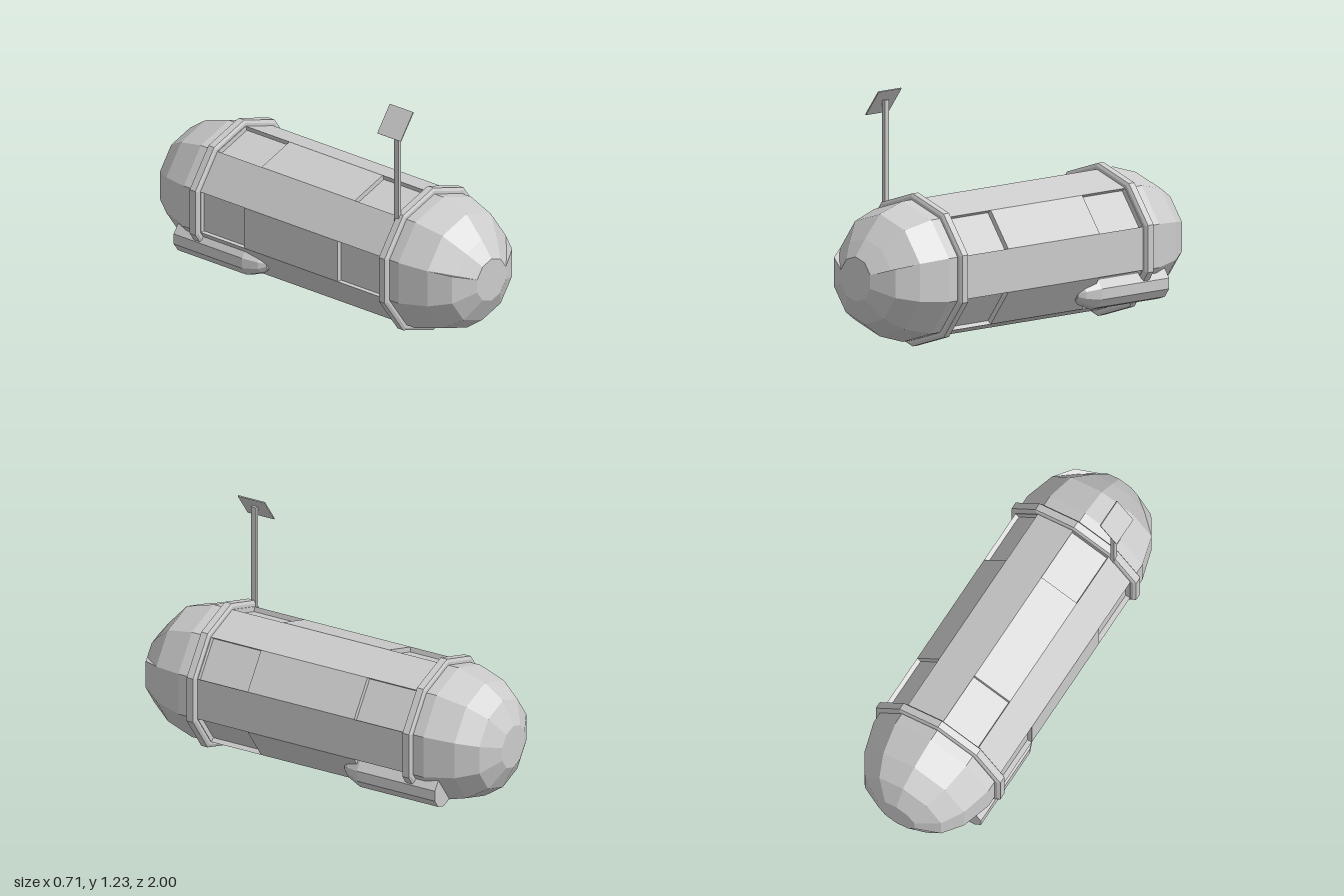
import * as THREE from 'three';

const SIDES = 10;
const AXIS_Y = 0.38;
const RADIUS = 0.345;

const material = new THREE.MeshStandardMaterial({
  color: 0xcccccc, flatShading: true, side: THREE.DoubleSide,
});

// Corner k of the ten-sided section, at radius r and depth z
function corner(k, r, z) {
  const a = THREE.MathUtils.degToRad(18 + 36 * k);
  return new THREE.Vector3(r * Math.cos(a), AXIS_Y + r * Math.sin(a), z);
}

function quadMesh(name, quads) {
  const points = quads.flatMap(([a, b, c, d]) => [a, b, c, a, c, d]);
  const geometry = new THREE.BufferGeometry().setFromPoints(points);
  geometry.computeVertexNormals();
  const mesh = new THREE.Mesh(geometry, material);
  mesh.name = name;
  return mesh;
}

// One facet between two stations [z, r]
function facet(k, [z0, r0], [z1, r1]) {
  return [corner(k, r0, z0), corner(k + 1, r0, z0), corner(k + 1, r1, z1), corner(k, r1, z1)];
}

// Ten-sided solid turned around the z axis from [radius, z] points
function turned(name, profile, x, y, z) {
  const points = profile.map(([r, h]) => new THREE.Vector2(r, h));
  const mesh = new THREE.Mesh(new THREE.LatheGeometry(points, SIDES), material);
  mesh.name = name;
  mesh.rotation.x = Math.PI / 2;
  mesh.position.set(x, y, z);
  return mesh;
}

function box(name, size, position) {
  const mesh = new THREE.Mesh(new THREE.BoxGeometry(...size), material);
  mesh.name = name;
  mesh.position.set(...position);
  return mesh;
}

// Straight hull: every other facet has a sunken panel near each end
function createHull() {
  const depth = 0.025;
  const cuts = [-0.69, -0.58, -0.3, 0.3, 0.58, 0.69];
  const quads = [];
  for (let k = 0; k < SIDES; k++) {
    const a = THREE.MathUtils.degToRad(36 + 36 * k);
    const inward = new THREE.Vector3(-Math.cos(a), -Math.sin(a), 0).multiplyScalar(depth);
    for (let i = 0; i < cuts.length - 1; i++) {
      const outer = facet(k, [cuts[i], RADIUS], [cuts[i + 1], RADIUS]);
      if (k % 2 === 0 && (i === 1 || i === 3)) {
        const floor = outer.map((p) => p.clone().add(inward));
        quads.push(floor);
        for (let e = 0; e < 4; e++) {
          const n = (e + 1) % 4;
          quads.push([outer[e], outer[n], floor[n], floor[e]]);
        }
      } else {
        quads.push(outer);
      }
    }
  }
  return quadMesh('hull', quads);
}

// Rounded end caps; the front one leaves its upper four facets open for the window
function createCap(name, dir) {
  const stations = [[0.69, RADIUS], [0.84, 0.3], [0.94, 0.23], [1, 0.11]].map(([z, r]) => [z * dir, r]);
  const quads = [];
  for (let k = 0; k < SIDES; k++) {
    for (let i = 0; i < 3; i++) {
      if (dir > 0 && k < 4 && i > 0) continue;
      const q = facet(k, stations[i], stations[i + 1]);
      quads.push(dir > 0 ? q : q.reverse());
    }
    const centre = new THREE.Vector3(0, AXIS_Y, dir);
    const rim = [corner(k, 0.11, dir), corner(k + 1, 0.11, dir)];
    if (dir < 0) rim.reverse();
    quads.push([centre, rim[0], rim[1], centre]);
  }
  return quadMesh(name, quads);
}

// Sunken windscreen with a narrow sill on each side
function createWindow() {
  const stations = [[0.84, 0.3], [0.937, 0.192], [1, 0.11]];
  const quads = [];
  for (let k = 0; k < 4; k++) {
    quads.push(facet(k, stations[0], stations[1]), facet(k, stations[1], stations[2]));
  }
  for (const k of [0, 4]) {
    quads.push([corner(k, 0.3, 0.84), corner(k, 0.23, 0.94), corner(k, 0.11, 1), corner(k, 0.192, 0.937)]);
  }
  return quadMesh('window', quads);
}

export function createModel() {
  const model = new THREE.Group();
  model.name = 'capsuleCraft';
  model.add(createHull(), createCap('frontCap', 1), createCap('rearCap', -1), createWindow());

  // Raised bands at both ends of the hull
  const band = [[0.34, -0.025], [0.36, -0.025], [0.375, -0.018], [0.375, 0.018], [0.36, 0.025], [0.34, 0.025]];
  model.add(turned('frontBand', band, 0, AXIS_Y, 0.608));
  model.add(turned('rearBand', band, 0, AXIS_Y, -0.608));

  // Engine pods, low on both sides at the rear
  const pod = [[0, -0.755], [0.086, -0.755], [0.086, -0.315], [0.055, -0.24], [0.025, -0.21], [0, -0.21]];
  model.add(turned('leftPod', pod, 0.246, 0.188, 0));
  model.add(turned('rightPod', pod, -0.246, 0.188, 0));

  // Mast with a tilted plate
  model.add(box('mast', [0.02, 0.58, 0.028], [-0.225, 0.89, 0.595]));
  const plate = box('mastPlate', [0.155, 0.006, 0.15], [-0.241, 1.17, 0.595]);
  plate.rotation.z = THREE.MathUtils.degToRad(53.5);
  model.add(plate);

  return model;
}
